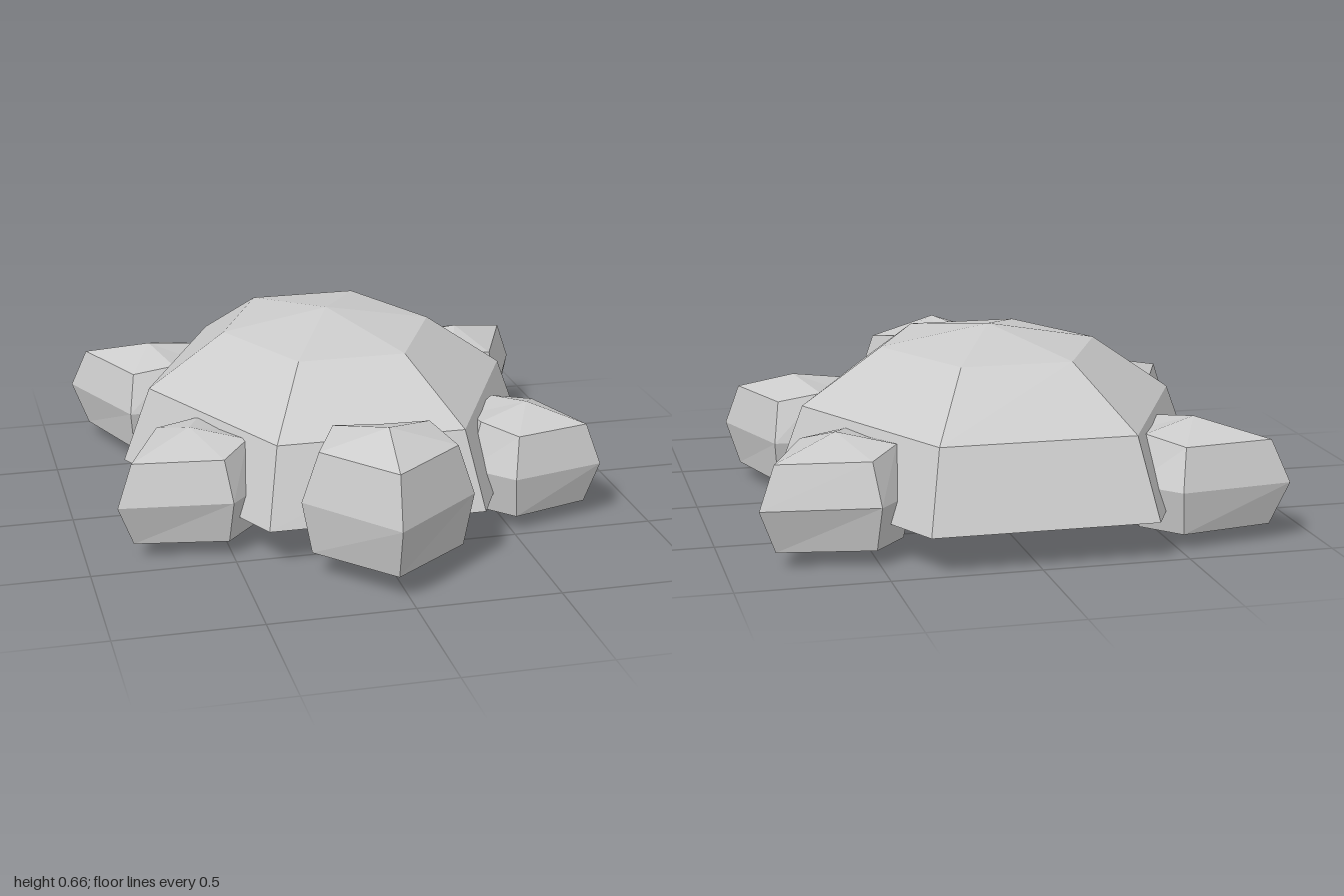
import * as THREE from 'three';

const material = new THREE.MeshStandardMaterial({ color: 0xcccccc, flatShading: true });

// Skin a stack of rings (bottom to top) with flat facets; a pole is a ring of equal points.
function loft(rings) {
  const pos = [];
  const tri = (a, b, c) => {
    if (a.equals(b) || b.equals(c) || a.equals(c)) return;
    for (const p of [a, b, c]) pos.push(p.x, p.y, p.z);
  };
  for (let i = 0; i < rings.length - 1; i++) {
    const lo = rings[i], hi = rings[i + 1], n = lo.length;
    for (let j = 0; j < n; j++) {
      const k = (j + 1) % n;
      tri(lo[j], lo[k], hi[k]);
      tri(lo[j], hi[k], hi[j]);
    }
  }
  const geometry = new THREE.BufferGeometry();
  geometry.setAttribute('position', new THREE.Float32BufferAttribute(pos, 3));
  geometry.computeVertexNormals();
  return geometry;
}

function addMesh(group, name, geometry) {
  const mesh = new THREE.Mesh(geometry, material);
  mesh.name = name;
  group.add(mesh);
  return mesh;
}

// Six-sided dome, stretched lengthwise, with corners on the x axis
function shellGeometry() {
  const levels = [[0, 0.118], [0.765, 0.13], [0.665, 0.4], [0.385, 0.595], [0, 0.662]];
  return loft(levels.map(([r, y]) => Array.from({ length: 6 }, (_, j) => {
    const a = Math.PI / 6 + j * Math.PI / 3;
    return new THREE.Vector3(r * Math.sin(a), y, r * 1.185 * Math.cos(a));
  })));
}

// Faceted bulb: rounded at the back, drawn out to one corner along local +z
function bulbGeometry({ side, front, height, aim }) {
  const corners = [[aim, front], [90, side], [135, side], [180, side], [225, side], [270, side]];
  // level: height factor, radius factor, front radius factor, lift of the rear corners
  const levels = [[-1, 0, 0, 0], [-0.73, 0.88, 0.8, 0], [0, 1, 1, 0], [0.7, 0.8, 0.8, 0.12], [1, 0, 0, 0]];
  return loft(levels.map(([y, r, rf, lift]) => corners.map(([deg, len], j) => {
    const a = THREE.MathUtils.degToRad(deg);
    const d = len * (j === 0 ? rf : r);
    const up = j === 2 || j === 4 ? lift : 0;
    return new THREE.Vector3(d * Math.sin(a), (y + up) * height, d * Math.cos(a));
  })));
}

export function createModel() {
  const group = new THREE.Group();
  group.name = 'turtle';

  addMesh(group, 'shell', shellGeometry()).position.set(-0.015, 0, -0.213);

  const head = addMesh(group, 'head', bulbGeometry({ side: 0.293, front: 0.295, height: 0.252, aim: 0 }));
  head.position.set(-0.017, 0.27, 0.7);
  head.rotation.y = -0.1;

  // Four legs, splayed outwards: name, x, z, yaw, reach, aim of the tip
  const legs = [
    ['frontRightLeg', -0.61, 0.245, -1.12, 0.335, 7],
    ['frontLeftLeg', 0.605, 0.27, 1.14, 0.276, -7],
    ['backRightLeg', -0.605, -0.71, -2.02, 0.335, -6],
    ['backLeftLeg', 0.61, -0.645, 2.02, 0.335, 7],
  ];
  for (const [name, x, z, yaw, front, aim] of legs) {
    const leg = addMesh(group, name, bulbGeometry({ side: 0.253, front, height: 0.205, aim }));
    leg.position.set(x, 0.205, z);
    leg.rotation.y = yaw;
  }
  return group;
}
